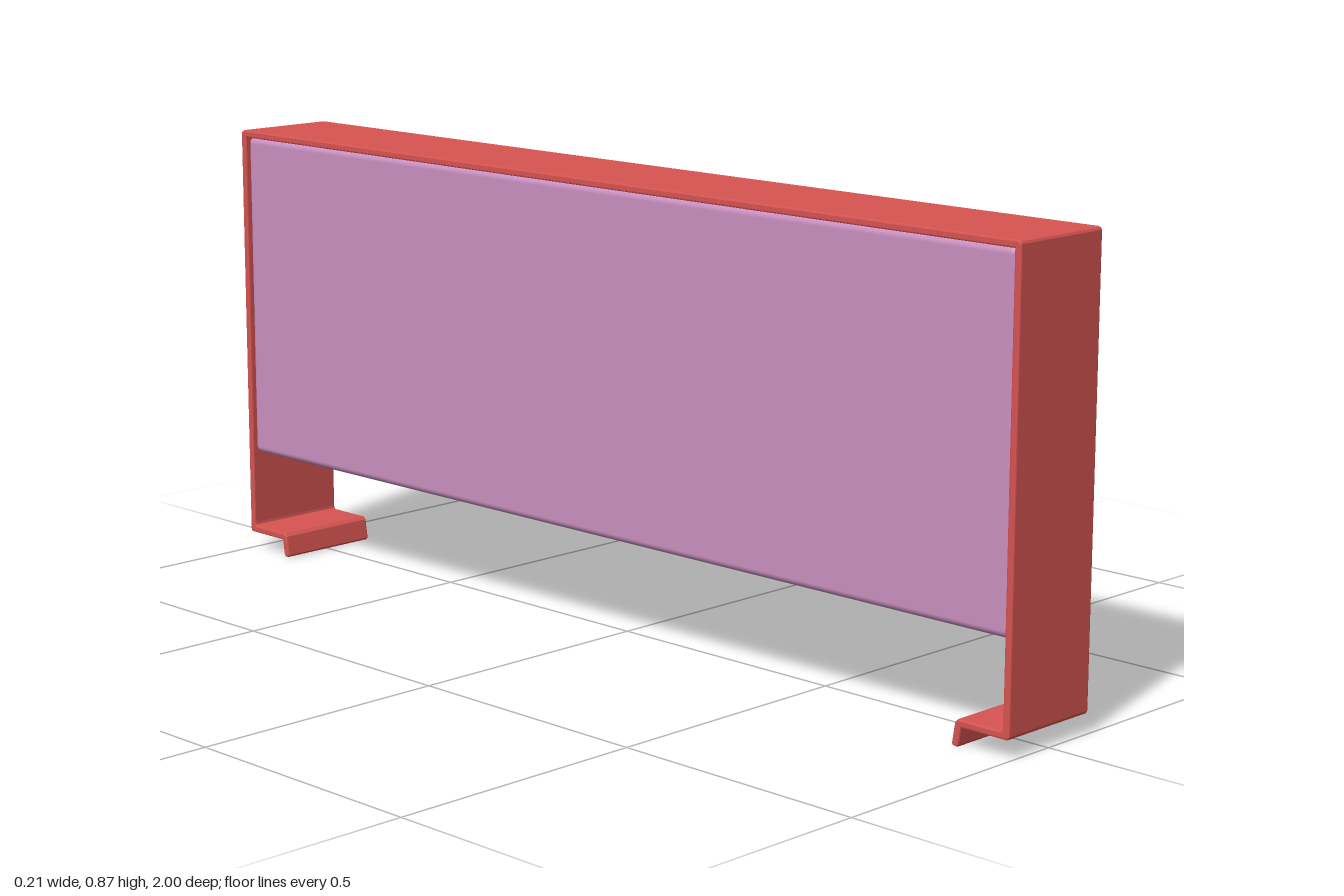
import * as THREE from 'three';
import { RoundedBoxGeometry } from 'three/addons/geometries/RoundedBoxGeometry.js';

const WIDTH = 0.214;
const BEVEL = 0.003;

// Half outline of the bent strip as [z, y], from the outside of the top down to the lip
const outer = [
  [0.994, 0.872], [0.998, 0.870], [1.0, 0.866],
  [1.0, 0.042], [0.998, 0.037], [0.993, 0.035],
  [0.897, 0.035], [0.892, 0.004], [0.889, 0.0],
];
// and back up along the inside
const inner = [
  [0.881, 0.001], [0.878, 0.005], [0.884, 0.043], [0.89, 0.049],
  [0.98, 0.049], [0.985, 0.051], [0.986, 0.056],
  [0.986, 0.858],
];

export function createModel() {
  const model = new THREE.Group();
  const red = new THREE.MeshStandardMaterial({ color: 0xd65451 });
  const mauve = new THREE.MeshStandardMaterial({ color: 0xc98fbf });

  // Bent metal strip: top, two ends, inward feet and small lips
  const half = [...outer, ...inner];
  const mirrored = half.map(([z, y]) => [-z, y]).reverse();
  const outline = new THREE.Shape([...half, ...mirrored].map(([z, y]) => new THREE.Vector2(z, y)));
  const depth = WIDTH - 2 * BEVEL;
  const stripGeometry = new THREE.ExtrudeGeometry(outline, {
    depth, bevelEnabled: true, bevelThickness: BEVEL, bevelSize: BEVEL, bevelOffset: -BEVEL, bevelSegments: 2,
  });
  stripGeometry.translate(0, 0, -depth / 2).rotateY(-Math.PI / 2);
  const strip = new THREE.Mesh(stripGeometry, red);
  strip.name = 'bentStrip';
  model.add(strip);

  // Solid block filling the upper part of the strip
  const block = new THREE.Mesh(new RoundedBoxGeometry(0.204, 0.655, 1.974, 4, 0.014), mauve);
  block.name = 'fillBlock';
  block.position.y = 0.5325;
  model.add(block);

  return model;
}
